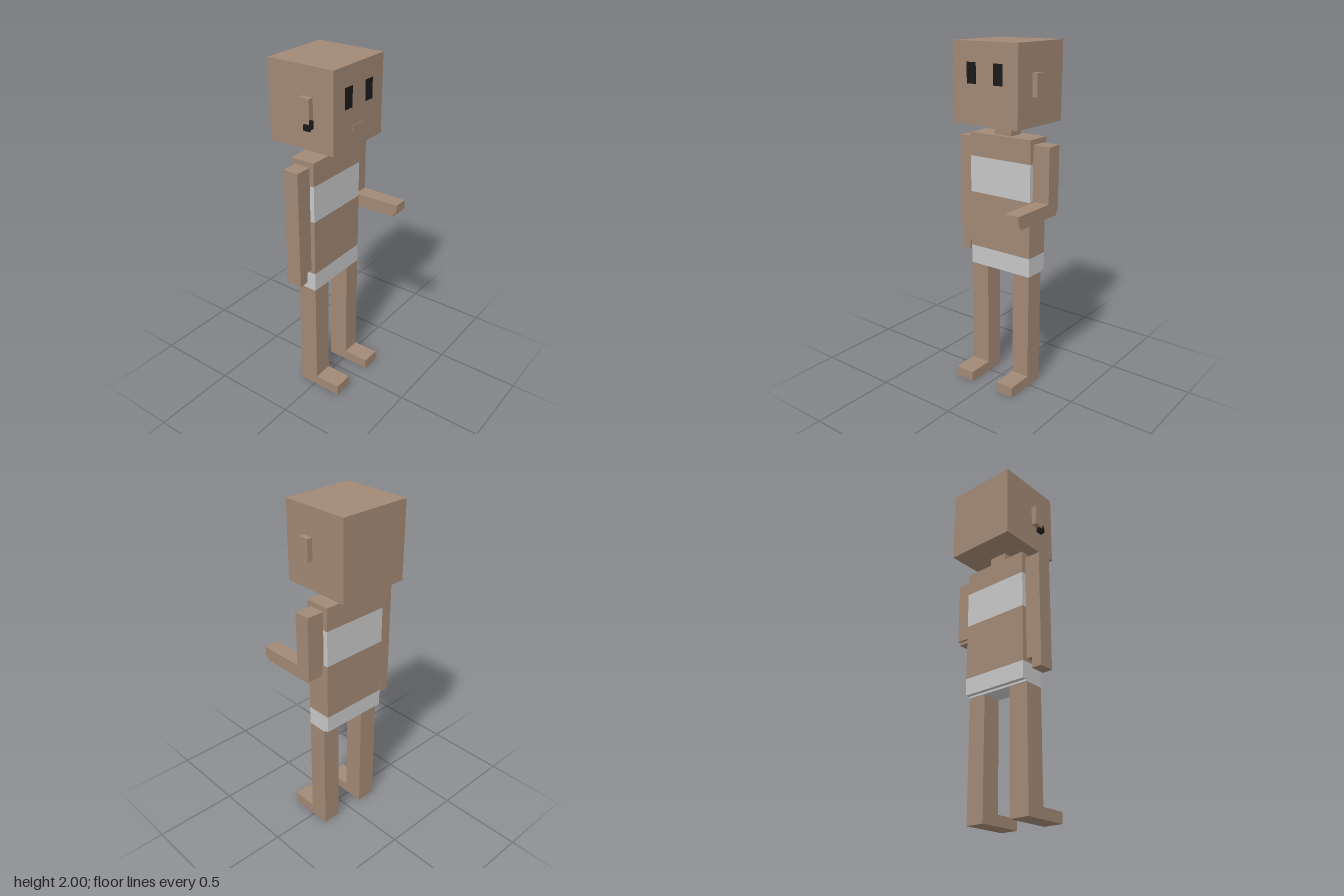
import * as THREE from 'three';

const material = (name, color) => {
  const m = new THREE.MeshStandardMaterial({ color });
  m.name = name;
  return m;
};

export function createModel() {
  const model = new THREE.Group();
  model.name = 'blockFigure';
  const skin = material('skinBrown', 0xa18874);
  const cloth = material('clothGrey', 0xc6c6c6);
  const black = material('black', 0x1a1a1a);

  const add = (name, geometry, mat) => {
    const mesh = new THREE.Mesh(geometry, mat);
    mesh.name = name;
    model.add(mesh);
    return mesh;
  };
  // Box given by its limits on each axis
  const box = (name, mat, [x0, x1], [y0, y1], [z0, z1]) => {
    const g = new THREE.BoxGeometry(x1 - x0, y1 - y0, z1 - z0);
    g.translate((x0 + x1) / 2, (y0 + y1) / 2, (z0 + z1) / 2);
    return add(name, g, mat);
  };
  // Side outline of [z, y] points, extruded across x
  const slab = (name, mat, [x0, x1], outline) => {
    const shape = new THREE.Shape(outline.map(([z, y]) => new THREE.Vector2(z, y)));
    const g = new THREE.ExtrudeGeometry(shape, { depth: x1 - x0, bevelEnabled: false });
    g.rotateY(-Math.PI / 2).translate(x1, 0, 0);
    return add(name, g, mat);
  };

  // Head and neck
  box('head', skin, [-0.215, 0.213], [1.56, 2], [-0.265, 0.147]);
  box('neck', skin, [-0.056, 0.056], [1.49, 1.56], [-0.103, -0.01]);
  box('mouth', skin, [-0.058, 0.058], [1.65, 1.68], [0.146, 0.15]);
  for (const [side, x] of [['right', -0.09], ['left', 0.086]]) {
    box(side + 'Eye', black, [x - 0.03, x + 0.03], [1.78, 1.892], [0.146, 0.15]);
  }
  box('rightEar', skin, [-0.247, -0.215], [1.72, 1.845], [-0.043, 0.02]);
  box('leftEar', skin, [0.213, 0.245], [1.72, 1.845], [-0.043, 0.02]);

  // Earring hanging under the right ear
  box('earringTop', black, [-0.247, -0.232], [1.69, 1.735], [0.02, 0.035]);
  box('earringBottom', black, [-0.247, -0.232], [1.675, 1.705], [-0.02, 0.02]);

  // Torso, stacked as skin and cloth bands
  const torsoX = [-0.212, 0.203], torsoZ = [-0.135, 0.015];
  box('chest', skin, torsoX, [1.355, 1.49], torsoZ);
  box('chestBand', cloth, torsoX, [1.142, 1.355], torsoZ);
  box('belly', skin, torsoX, [0.812, 1.142], torsoZ);
  slab('shorts', cloth, torsoX, [
    [0.015, 0.70], [0.015, 0.812], [-0.135, 0.812], [-0.135, 0.712], [-0.11, 0.712], [-0.11, 0.70],
  ].reverse());

  // Legs with forward feet
  for (const [side, x] of [['right', [-0.212, -0.092]], ['left', [0.09, 0.202]]]) {
    box(side + 'Leg', skin, x, [0.062, 0.70], [-0.103, 0.015]);
    box(side + 'Foot', skin, x, [0, 0.062], [-0.103, 0.172]);
  }

  // Hanging right arm with a narrower hand
  box('rightArm', skin, [-0.31, -0.212], [0.83, 1.46], [-0.105, -0.012]);
  box('rightHand', skin, [-0.31, -0.248], [0.767, 0.83], [-0.105, -0.012]);

  // Left arm bent forward at the elbow
  box('leftUpperArm', skin, [0.203, 0.308], [1.145, 1.46], [-0.105, -0.012]);
  const forearm = slab('leftForearm', skin, [0.213, 0.308], [
    [-0.105, 1.085], [-0.09, 1.085], [-0.09, 1.068], [0.245, 1.068],
    [0.245, 1.085], [0.265, 1.09], [0.265, 1.145], [-0.105, 1.145],
  ]);
  // Slight taper of the inner side toward the hand
  const p = forearm.geometry.attributes.position;
  for (let i = 0; i < p.count; i++) {
    if (p.getX(i) < 0.25 && p.getZ(i) > 0.2) p.setX(i, 0.22);
  }
  forearm.geometry.computeVertexNormals();

  return model;
}
